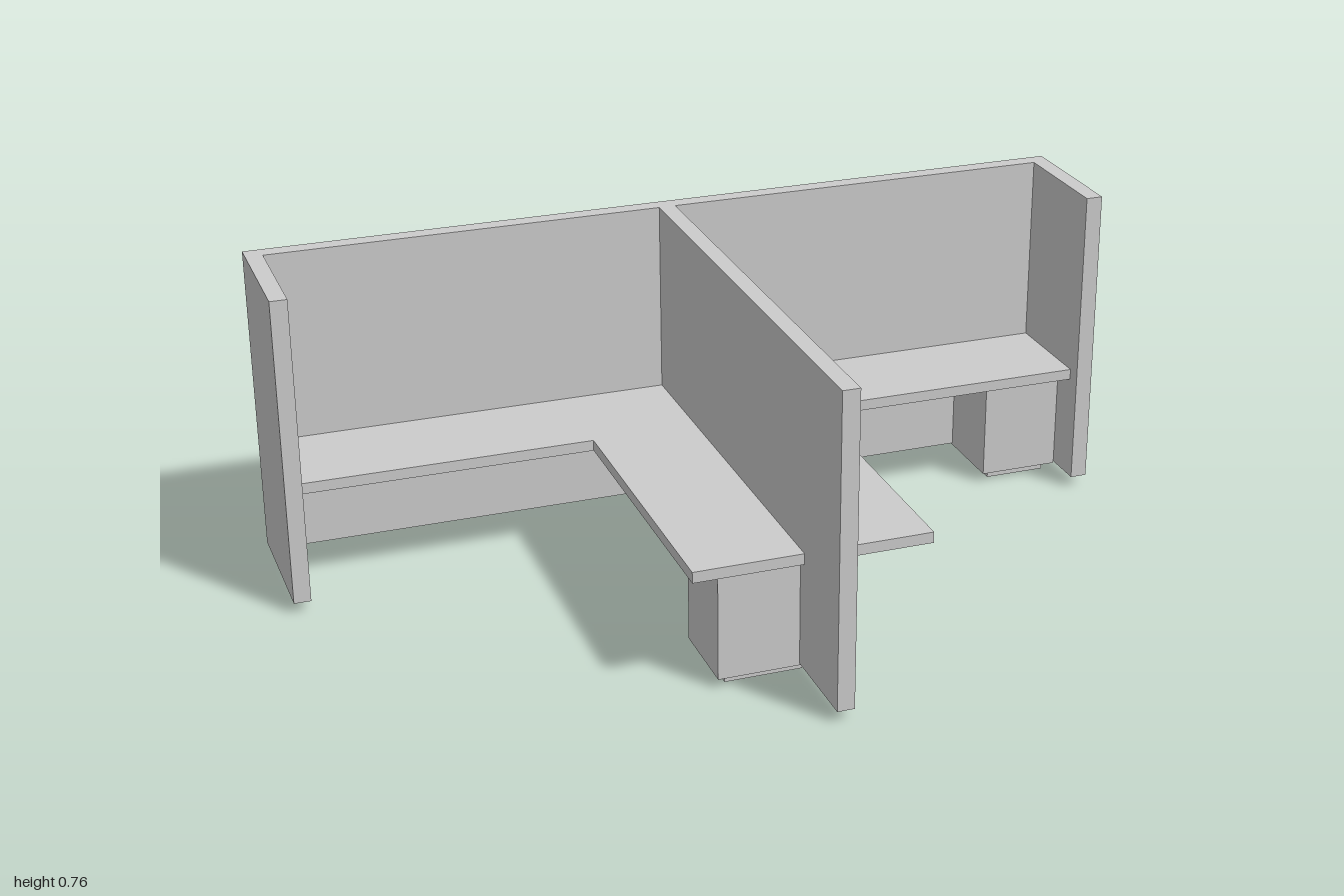
import * as THREE from 'three';

const material = new THREE.MeshStandardMaterial({ color: 0xcccccc, flatShading: true });

// Box given by its minimum and maximum on each axis
function box(name, [x0, x1], [y0, y1], [z0, z1]) {
  const mesh = new THREE.Mesh(new THREE.BoxGeometry(x1 - x0, y1 - y0, z1 - z0), material);
  mesh.position.set((x0 + x1) / 2, (y0 + y1) / 2, (z0 + z1) / 2);
  mesh.name = name;
  return mesh;
}

// L-shaped worktop: a wing along the back panel and a return along the divider
function worktop(name, side, returnX) {
  const outline = [[0.02, -0.56], [0.96, -0.56], [0.96, -0.305], [returnX, -0.305], [returnX, 0.403], [0.02, 0.403]];
  const shape = new THREE.Shape(outline.map(([x, z]) => new THREE.Vector2(side * x, -z)));
  const geometry = new THREE.ExtrudeGeometry(shape, { depth: 0.026, bevelEnabled: false });
  geometry.rotateX(-Math.PI / 2);
  const mesh = new THREE.Mesh(geometry, material);
  mesh.position.y = 0.279;
  mesh.name = name;
  return mesh;
}

// Storage pedestal on a recessed plinth
function pedestal(name, x, z, width, depth) {
  const group = new THREE.Group();
  group.name = name;
  const span = (c, size) => [c - size / 2, c + size / 2];
  group.add(
    box('cabinet', span(x, width), [0.022, 0.279], span(z, depth)),
    box('plinth', span(x, width - 0.045), [0, 0.022], span(z, depth - 0.045)),
  );
  return group;
}

export function createModel() {
  const model = new THREE.Group();
  model.name = 'doubleWorkstation';
  const height = [0.026, 0.762];

  // Privacy panels
  model.add(
    box('backPanel', [-1, 1], height, [-0.6, -0.56]),
    box('dividerPanel', [-0.02, 0.02], height, [-0.56, 0.6]),
    box('leftEndPanel', [0.96, 1], height, [-0.56, -0.27]),
    box('rightEndPanel', [-1, -0.96], height, [-0.56, -0.27]),
  );

  // Worktops
  model.add(worktop('leftWorktop', 1, 0.28), worktop('rightWorktop', -1, 0.272));

  // Pedestals: one in the left corner, one turned sideways by the divider
  model.add(
    pedestal('leftPedestal', 0.862, -0.48, 0.195, 0.22),
    pedestal('rightPedestal', -0.095, 0.281, 0.225, 0.197),
  );
  return model;
}
